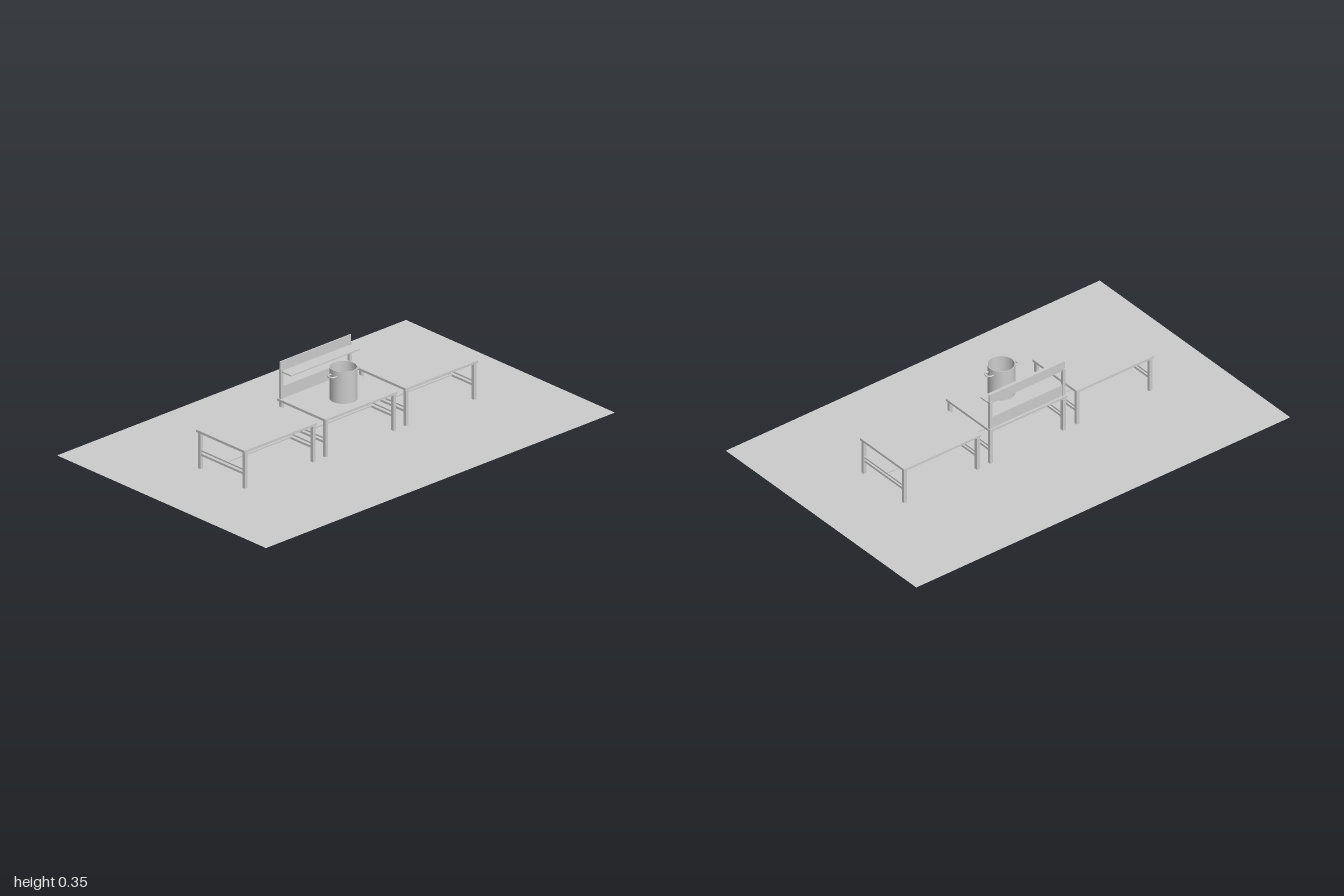
import * as THREE from 'three';

const grey = new THREE.MeshStandardMaterial({ color: 0xcccccc, side: THREE.DoubleSide });

function add(parent, name, geometry, x = 0, y = 0, z = 0) {
  const mesh = new THREE.Mesh(geometry, grey);
  mesh.name = name;
  mesh.position.set(x, y, z);
  parent.add(mesh);
  return mesh;
}

// Box given by its lower and upper limits on each axis
function box(parent, name, [x0, x1], [y0, y1], [z0, z1]) {
  return add(parent, name, new THREE.BoxGeometry(x1 - x0, y1 - y0, z1 - z0),
    (x0 + x1) / 2, (y0 + y1) / 2, (z0 + z1) / 2);
}

const FRONT = 0.157, BACK = -0.139, HALF = 0.207, TOP = 0.183;

function table(x) {
  const g = new THREE.Group();
  g.name = 'table';
  g.position.x = x;
  box(g, 'tableTop', [-HALF, HALF], [0.172, TOP], [BACK, FRONT]);
  for (const s of [-1, 1]) {
    for (const z of [0.146, -0.125]) {
      add(g, 'leg', new THREE.BoxGeometry(0.015, 0.165, 0.015), s * 0.195, 0.0895, z);
    }
    // Pair of rails joining front and back legs
    add(g, 'lowerSideRail', new THREE.BoxGeometry(0.008, 0.01, 0.256), s * 0.195, 0.072, 0.0105);
    add(g, 'upperSideRail', new THREE.BoxGeometry(0.008, 0.007, 0.256), s * 0.195, 0.0905, 0.0105);
  }
  add(g, 'longRail', new THREE.BoxGeometry(0.384, 0.006, 0.008), 0, 0.074, 0.0105);
  return g;
}

// Upright frame with two boards and a shelf at the back of the middle table
function backRack() {
  const g = new THREE.Group();
  g.name = 'backRack';
  for (const s of [-1, 1]) {
    add(g, 'post', new THREE.BoxGeometry(0.013, 0.137, 0.013), s * 0.196, 0.2515, -0.126);
  }
  box(g, 'lowerBoard', [-0.202, 0.202], [TOP, 0.238], [-0.129, -0.123]);
  box(g, 'upperBoard', [-0.202, 0.202], [0.31, 0.354], [-0.129, -0.123]);
  box(g, 'shelf', [-0.198, 0.198], [0.304, 0.31], [-0.123, -0.064]);
  return g;
}

// Open pot with a thin wall and a loop handle on each side
function pot() {
  const g = new THREE.Group();
  g.name = 'pot';
  g.position.set(-0.004, TOP, 0.05);
  const r = 0.059, h = 0.146, wall = 0.003;
  const ring = (name, radiusTop, y, height) =>
    add(g, name, new THREE.CylinderGeometry(radiusTop, radiusTop, height, 32, 1, true), 0, y, 0);
  ring('outerWall', r, h / 2, h);
  ring('innerWall', r - wall, h / 2 + 0.002, h - 0.004);
  add(g, 'rim', new THREE.RingGeometry(r - wall, r, 32), 0, h, 0).rotation.x = -Math.PI / 2;
  add(g, 'bottom', new THREE.CircleGeometry(r, 32), 0, 0.004, 0).rotation.x = -Math.PI / 2;
  for (const s of [-1, 1]) {
    const path = new THREE.CatmullRomCurve3([
      [0.054, -0.016], [0.068, -0.017], [0.077, -0.012], [0.081, 0],
      [0.077, 0.012], [0.068, 0.017], [0.054, 0.016],
    ].map(([x, z]) => new THREE.Vector3(s * x, 0.121, z)));
    add(g, 'handle', new THREE.TubeGeometry(path, 24, 0.004, 8, false));
  }
  return g;
}

export function createModel() {
  const model = new THREE.Group();
  model.name = 'servingTables';
  add(model, 'floor', new THREE.PlaneGeometry(2, 1.28)).rotation.x = -Math.PI / 2;
  for (const x of [-0.464, -0.001, 0.459]) model.add(table(x));
  model.add(backRack(), pot());
  return model;
}
